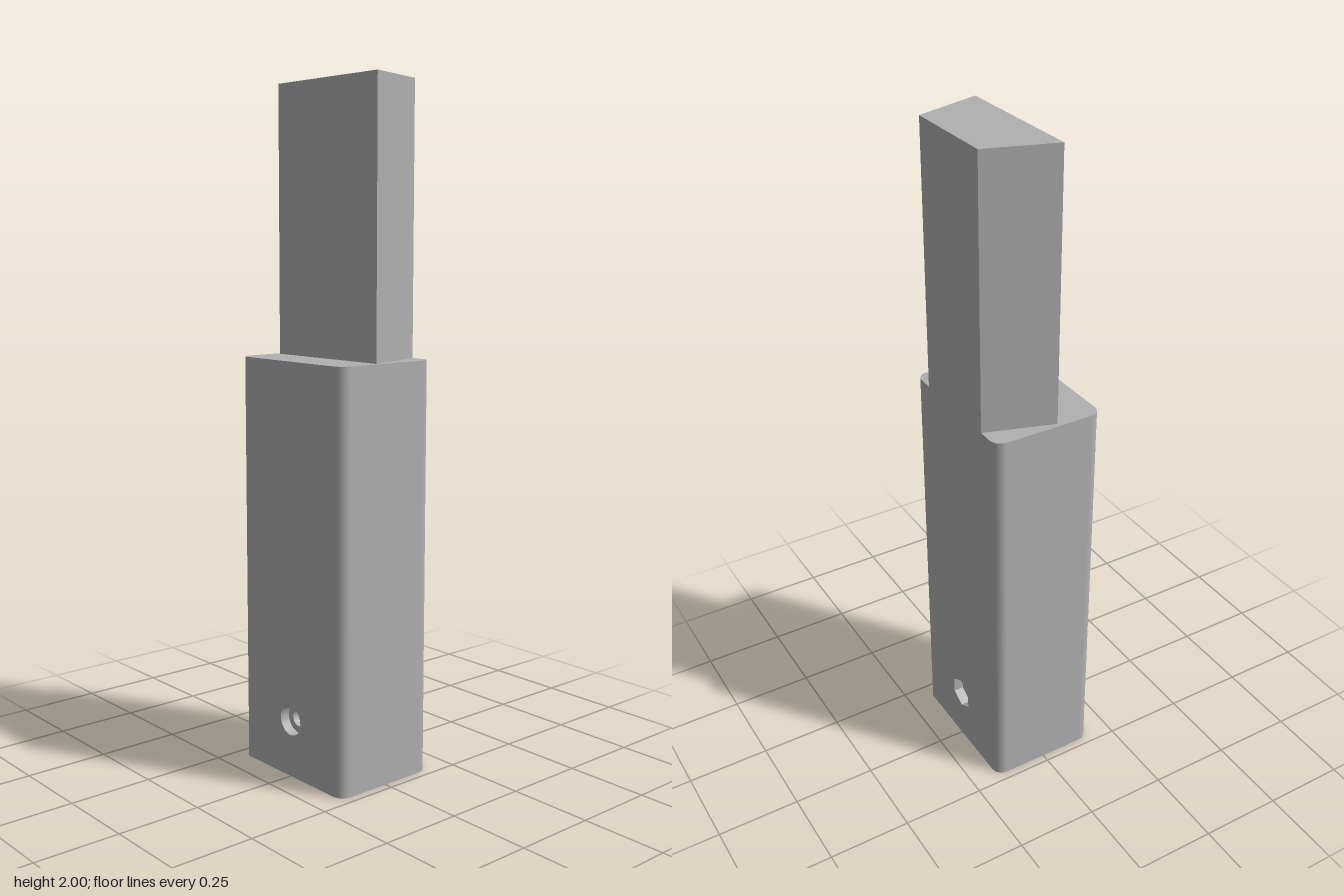
import * as THREE from 'three';

const W = 0.225, D = 0.169, H = 1.217, R = 0.034; // body half width, half depth, height, corner radius
const C = 0.111, CH = 1.0;                        // socket half width and depth
const HOLE_Y = 0.17, HOLE = 0.025, HEAD = 0.045, NUT = 0.051, RECESS = 0.03;

export function createModel() {
  const group = new THREE.Group();
  const grey = new THREE.MeshStandardMaterial({ color: 0xb0b0b0, side: THREE.DoubleSide });
  grey.name = 'grey';

  const add = (name, geo, x = 0, y = 0, z = 0) => {
    const mesh = new THREE.Mesh(geo, grey);
    mesh.name = name;
    mesh.position.set(x, y, z);
    group.add(mesh);
    return mesh;
  };

  // Regular polygon as points, first corner pointing up
  const ngon = (r, n, cy = 0) => Array.from({ length: n }, (_, i) => {
    const a = Math.PI / 2 + (i / n) * Math.PI * 2;
    return new THREE.Vector2(Math.cos(a) * r, cy + Math.sin(a) * r);
  });
  const rect = (w, y0, y1) => [[-w, y0], [w, y0], [w, y1], [-w, y1]].map(p => new THREE.Vector2(...p));
  const sheet = (outline, hole) => {
    const s = new THREE.Shape(outline);
    if (hole) s.holes.push(new THREE.Path(hole));
    return new THREE.ShapeGeometry(s);
  };
  // Open tube lying along z
  const bore = (r, n, length) => {
    let g = new THREE.CylinderGeometry(r, r, length, n, 1, true).rotateX(Math.PI / 2);
    if (n < 12) {
      g = g.toNonIndexed();
      g.computeVertexNormals();
    }
    return g;
  };

  // Rounded outline of the body in plan
  const plan = [];
  [[1, 1], [-1, 1], [-1, -1], [1, -1]].forEach(([sx, sz], q) => {
    for (let i = 0; i <= 8; i++) {
      const a = (q + i / 8) * Math.PI / 2;
      plan.push(new THREE.Vector2(sx * (W - R) + Math.cos(a) * R, sz * (D - R) + Math.sin(a) * R));
    }
  });

  // Body: front and back panels with screw openings, sides, rounded corners, caps
  add('bodyFront', sheet(rect(W - R, 0, H), ngon(HEAD, 32, HOLE_Y)), 0, 0, D);
  add('bodyBack', sheet(rect(W - R, 0, H), ngon(NUT, 6, HOLE_Y)).rotateY(Math.PI), 0, 0, -D);
  for (const s of [1, -1]) {
    add('bodySide', new THREE.PlaneGeometry(2 * (D - R), H).rotateY(s * Math.PI / 2), s * W, H / 2, 0);
  }
  [[1, 1], [1, -1], [-1, -1], [-1, 1]].forEach(([sx, sz], q) => {
    add('bodyCorner', new THREE.CylinderGeometry(R, R, H, 8, 1, true, q * Math.PI / 2, Math.PI / 2),
      sx * (W - R), H / 2, sz * (D - R));
  });
  add('bodyTop', sheet(plan).rotateX(-Math.PI / 2), 0, H, 0);
  add('bodyBottom', sheet(plan, rect(C, -C, C)).rotateX(Math.PI / 2));

  // Square socket in the underside
  for (const s of [1, -1]) {
    add('socketSide', new THREE.PlaneGeometry(2 * C, CH).rotateY(-s * Math.PI / 2), s * C, CH / 2, 0);
    const wall = sheet(rect(C, 0, CH), ngon(HOLE, 32, HOLE_Y));
    if (s > 0) wall.rotateY(Math.PI);
    add('socketWall', wall, 0, 0, s * C);
  }
  add('socketCeiling', new THREE.PlaneGeometry(2 * C, 2 * C).rotateX(Math.PI / 2), 0, CH, 0);

  // Screw head recess at the front, hexagonal nut recess at the back
  const recess = (name, r, n, s) => {
    const floor = sheet(ngon(r, n), ngon(HOLE, 32));
    if (s < 0) floor.rotateY(Math.PI);
    add(name + 'Floor', floor, 0, HOLE_Y, s * (D - RECESS));
    add(name + 'Wall', bore(r, n, RECESS), 0, HOLE_Y, s * (D - RECESS / 2));
    const len = D - RECESS - C;
    add('screwHole', bore(HOLE, 32, len), 0, HOLE_Y, s * (C + len / 2));
  };
  recess('screwRecess', HEAD, 32, 1);
  recess('nutRecess', NUT, 6, -1);

  // Dovetail tongue, flush with the back of the body
  const tail = new THREE.Shape([[-0.213, -0.032], [0.213, -0.032], [0.147, D], [-0.147, D]]
    .map(p => new THREE.Vector2(...p)));
  add('dovetailTongue', new THREE.ExtrudeGeometry(tail, { depth: 2 - H, bevelEnabled: false })
    .rotateX(-Math.PI / 2), 0, H, 0);

  return group;
}
